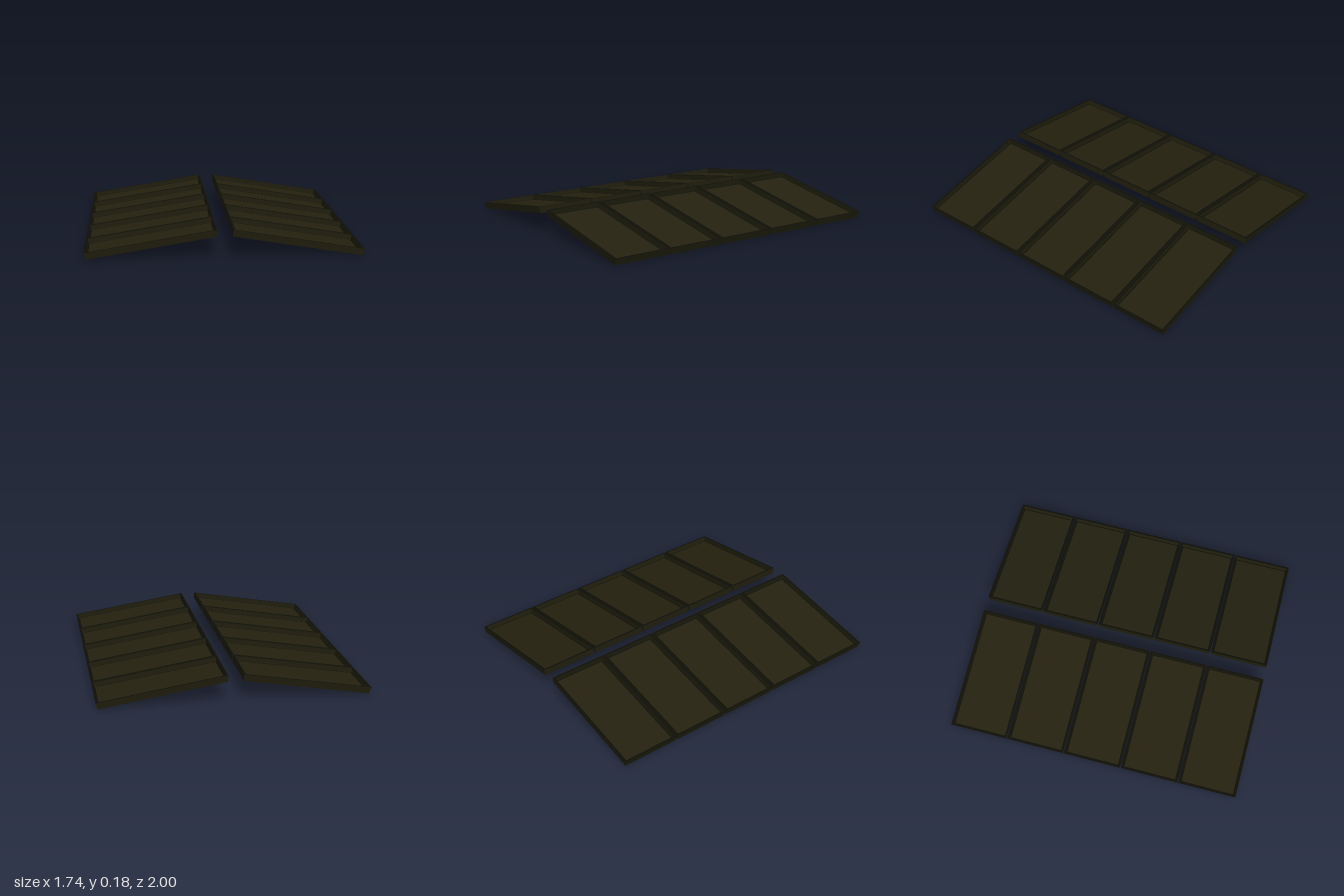
import * as THREE from 'three';

// Four-sided band joining rectangle a to rectangle b, each [halfX, y, halfZ]
function band(a, b) {
  const signs = [[1, 1], [1, -1], [-1, -1], [-1, 1]];
  const corner = ([hx, y, hz], i) => [signs[i % 4][0] * hx, y, signs[i % 4][1] * hz];
  const points = [];
  for (let i = 0; i < 4; i++) {
    const a0 = corner(a, i), a1 = corner(a, i + 1), b0 = corner(b, i), b1 = corner(b, i + 1);
    points.push(...a0, ...a1, ...b1, ...a0, ...b1, ...b0);
  }
  const geometry = new THREE.BufferGeometry();
  geometry.setAttribute('position', new THREE.Float32BufferAttribute(points, 3));
  geometry.computeVertexNormals();
  return geometry;
}

// Horizontal rectangle facing up (1) or down (-1)
function sheet([hx, y, hz], facing) {
  return new THREE.PlaneGeometry(2 * hx, 2 * hz).rotateX(-facing * Math.PI / 2).translate(0, y, 0);
}

export function createModel() {
  const model = new THREE.Group();
  model.name = 'panelArray';

  const flat = (name, color) => {
    const m = new THREE.MeshStandardMaterial({ color });
    m.name = name;
    return m;
  };
  const frameOlive = flat('frameOlive', 0x1f1e0d);
  const rimBlack = flat('rimBlack', 0x0e0e07);
  const cellOlive = flat('cellOlive', 0x24210f);

  const innerX = 0.05, outerX = 0.87, innerY = 0.176, outerY = 0.0425;
  const run = outerX - innerX, rise = innerY - outerY;
  const depth = 0.395, pitch = (2 - depth) / 4;
  const thick = 0.044, taper = 0.007, rim = 0.013, recess = 0.032, edge = 0.007;

  // Cross-sections of one tray, its rim at y = 0
  const hx = Math.hypot(run, rise) / 2, hz = depth / 2;
  const section = (inset, y) => [hx - inset, y, hz - inset];
  const base = section(taper, -thick);
  const outerTop = section(0, 0);
  const innerTop = section(rim, 0);
  const floorEdge = section(rim, -recess);
  const floor = section(rim + edge, -recess);

  const parts = [
    ['underside', sheet(base, -1), frameOlive],
    ['outerWalls', band(base, outerTop), frameOlive],
    ['rim', band(outerTop, innerTop), rimBlack],
    ['innerWalls', band(innerTop, floorEdge), frameOlive],
    ['floorBorder', band(floorEdge, floor), rimBlack],
    ['cells', sheet(floor, 1), cellOlive],
  ];

  // Two rows of five recessed panels, sloping down away from the middle
  for (const side of [1, -1]) {
    const row = new THREE.Group();
    row.name = side > 0 ? 'leftRow' : 'rightRow';
    row.position.set(side * (innerX + outerX) / 2, (innerY + outerY) / 2, 0);
    row.rotation.z = -side * Math.atan2(rise, run);
    for (let i = -2; i <= 2; i++) {
      const panel = new THREE.Group();
      panel.name = 'panel';
      panel.position.z = i * pitch;
      for (const [name, geometry, material] of parts) {
        const mesh = new THREE.Mesh(geometry, material);
        mesh.name = name;
        panel.add(mesh);
      }
      row.add(panel);
    }
    model.add(row);
  }
  return model;
}
